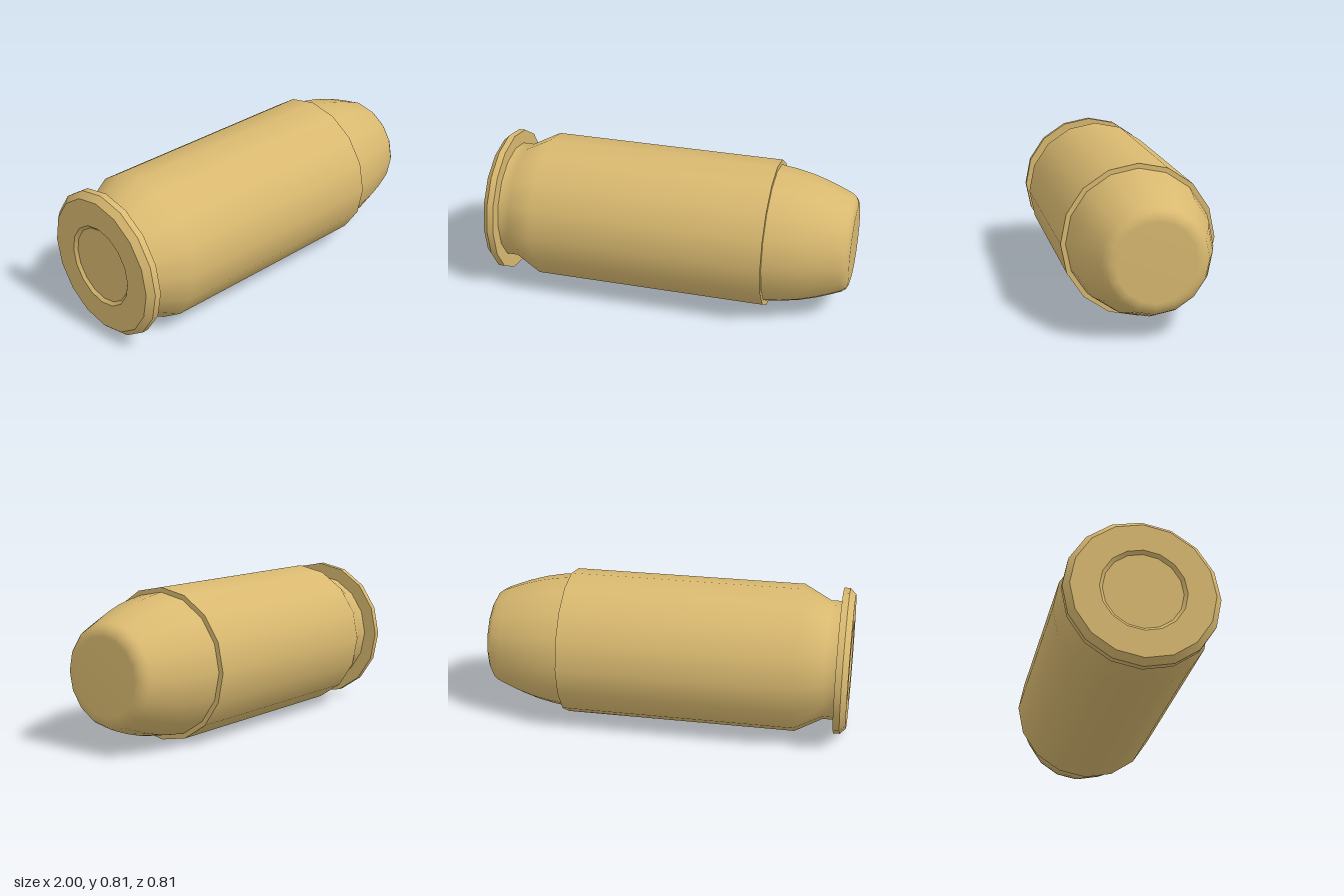
import * as THREE from 'three';

const SIDES = 16;
const RADIUS = 0.406;

export function createModel() {
  const brass = new THREE.MeshStandardMaterial({ color: 0xd9b970 });
  brass.name = 'brass';
  const group = new THREE.Group();

  // Each smooth section is its own lathe, so edges between sections stay sharp.
  // Profile points are [x along the axis, radius], from the rear to the front.
  function section(name, profile) {
    const points = profile.map(([x, r]) => new THREE.Vector2(r, x));
    const geometry = new THREE.LatheGeometry(points, SIDES);
    geometry.rotateZ(-Math.PI / 2);
    const mesh = new THREE.Mesh(geometry, brass);
    mesh.name = name;
    mesh.position.y = RADIUS;
    group.add(mesh);
  }

  // Rear face with a shallow recessed disc
  section('rearDisc', [[-0.985, 0], [-0.985, 0.205]]);
  section('rearRecessWall', [[-0.985, 0.205], [-1, 0.222]]);
  section('rearFace', [[-1, 0.222], [-1, 0.368]]);

  // Flanged rim
  section('rimChamfer', [[-1, 0.368], [-0.968, 0.4]]);
  section('rimEdge', [[-0.968, 0.4], [-0.933, 0.4]]);
  section('rimFront', [[-0.933, 0.4], [-0.933, 0.326]]);

  // Groove, shoulder and straight wall
  section('casing', [[-0.933, 0.326], [-0.87, 0.326], [-0.72, RADIUS], [0.56, RADIUS]]);
  section('casingMouth', [[0.56, RADIUS], [0.56, 0.38]]);

  // Rounded nose with a flat tip
  section('nose', [
    [0.56, 0.38], [0.65, 0.368], [0.74, 0.35], [0.83, 0.323], [0.91, 0.293],
    [0.96, 0.272], [0.982, 0.255], [0.995, 0.232], [1, 0.205], [1, 0],
  ]);

  return group;
}
